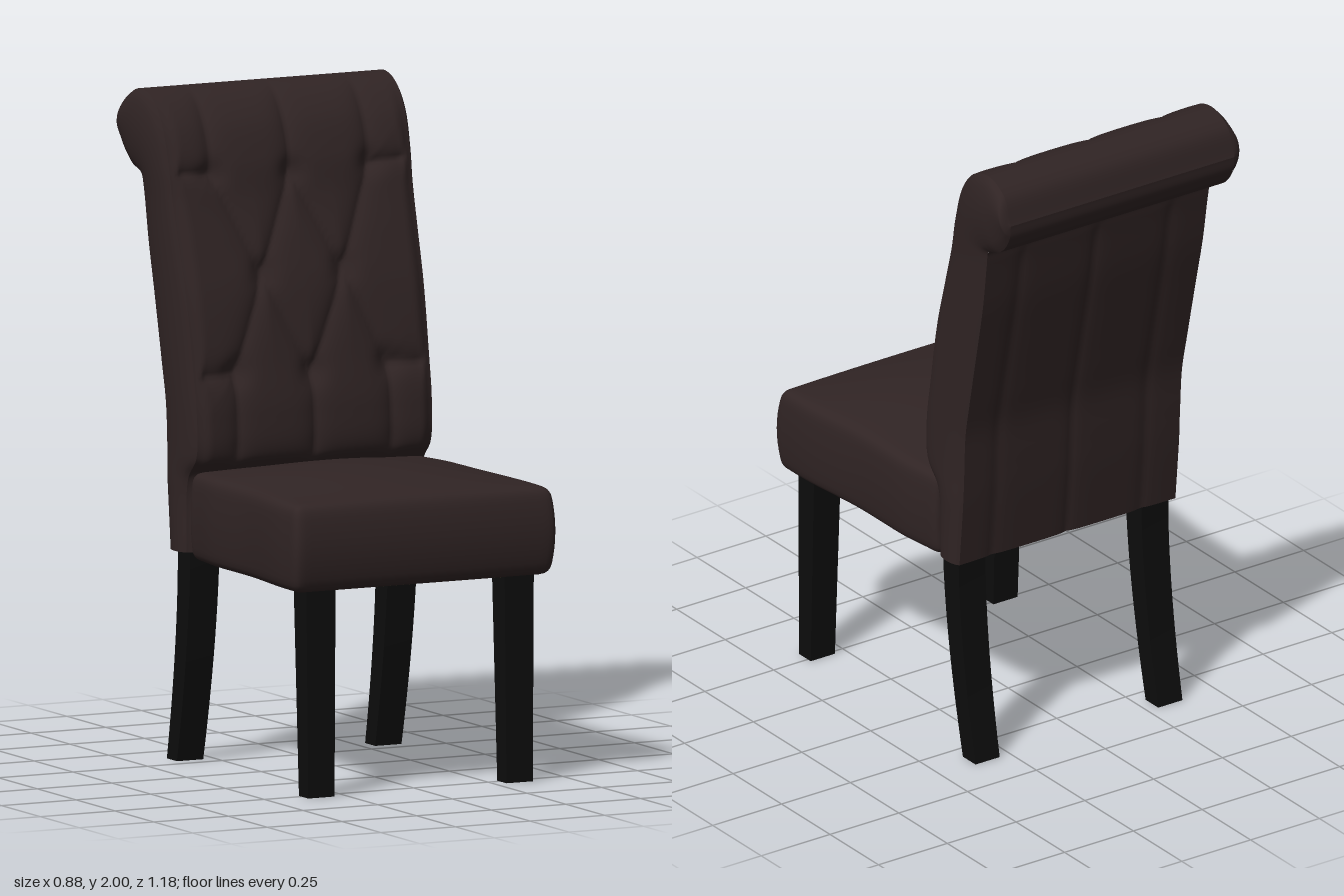
import * as THREE from 'three';
import { mergeVertices } from 'three/addons/utils/BufferGeometryUtils.js';

const clamp = THREE.MathUtils.clamp;
const smooth = THREE.MathUtils.smoothstep;

// Matching front and rear outlines of the backrest, as [z, y] from bottom to scroll tip
const FRONT = [[-.19, .64], [-.18, .86], [-.125, .93], [-.12, 1.05], [-.143, 1.2], [-.18, 1.4], [-.222, 1.55],
  [-.26, 1.68], [-.285, 1.8], [-.33, 1.91], [-.4, 1.98], [-.48, 2], [-.555, 1.965], [-.59, 1.88]];
const REAR = [[-.305, .64], [-.325, .86], [-.33, .95], [-.338, 1.08], [-.362, 1.2], [-.405, 1.4], [-.437, 1.55],
  [-.46, 1.7], [-.47, 1.745], [-.495, 1.757], [-.53, 1.77], [-.563, 1.8], [-.585, 1.84], [-.59, 1.88]];
const toCurve = (list) => new THREE.CatmullRomCurve3(list.map(([z, y]) => new THREE.Vector3(0, y, z)), false, 'centripetal');
const frontCurve = toCurve(FRONT);
const rearCurve = toCurve(REAR);

// Tufting: pulled points and the pleats between them, for x >= 0 (mirrored by |x|)
const BUTTONS = [[0, 1.75], [.265, 1.76], [.135, 1.46], [0, 1.165], [.255, 1.175]];
const PLEATS = [[0, 1.75, .135, 1.46], [.265, 1.76, .135, 1.46], [.135, 1.46, 0, 1.165], [.135, 1.46, .255, 1.175],
  [0, 1.75, 0, 2.1], [.265, 1.76, .265, 2.1], [.265, 1.76, .42, 1.77],
  [0, 1.165, 0, .8], [.255, 1.175, .26, .8], [.255, 1.175, .42, 1.17]];

function segmentDistance(x, y, [ax, ay, bx, by]) {
  const dx = bx - ax, dy = by - ay;
  const k = clamp(((x - ax) * dx + (y - ay) * dy) / (dx * dx + dy * dy), 0, 1);
  return Math.hypot(x - ax - k * dx, y - ay - k * dy);
}

function tuftDepth(x, y, t) {
  const ax = Math.abs(x);
  const line = Math.min(...PLEATS.map((p) => segmentDistance(ax, y, p)));
  const point = Math.min(...BUTTONS.map(([bx, by]) => Math.hypot(ax - bx, y - by)));
  const fade = smooth(t, .1, .18) * (1 - smooth(t, .66, .84));
  return fade * (.02 * Math.exp(-line / .03) + .02 * Math.exp(-((point / .04) ** 2)));
}

const halfWidth = (t) => .392 + .014 * smooth(t, .1, .8);

// Point on the padded front, u across from -1 to 1
function frontPoint(u, t) {
  const f = frontCurve.getPoint(t), r = rearCurve.getPoint(t);
  const chord = r.clone().sub(f), length = chord.length();
  const x = u * halfWidth(t);
  const roll = .018 * smooth(Math.abs(u), .86, 1) ** 2;
  const edge = roll * (1 - smooth(t, .6, .8));
  const depth = Math.max(edge, tuftDepth(x, f.y, t) * (1 - smooth(Math.abs(u), .9, 1)));
  if (length > 1e-4) f.addScaledVector(chord, Math.min(depth / length, .5));
  return f.setX(x);
}

// Point on the rear panel, with three shallow vertical seams
function rearPoint(u, t) {
  const p = rearCurve.getPoint(t);
  const x = u * halfWidth(t);
  const seam = Math.min(Math.abs(x), Math.abs(Math.abs(x) - .27));
  p.z += .008 * Math.exp(-seam / .02) * (1 - smooth(t, .5, .6));
  return p.setX(x);
}

// Bulging side panel, s from front edge to rear edge
function sidePoint(side, s, t) {
  const a = frontPoint(side, t), b = rearPoint(side, t);
  const bulge = (.018 + .012 * smooth(t, .5, .8)) * Math.min(1, a.distanceTo(b) / .12);
  const p = a.lerp(b, s);
  p.x += side * bulge * Math.pow(Math.max(0, Math.sin(Math.PI * s)), .6);
  return p;
}

// Smooth surface from a rule; i runs right and j runs up when seen from outside
function sheet(rule, nu, nv) {
  const position = [], index = [];
  for (let j = 0; j <= nv; j++) {
    for (let i = 0; i <= nu; i++) position.push(...rule(i / nu, j / nv).toArray());
  }
  for (let j = 0; j < nv; j++) {
    for (let i = 0; i < nu; i++) {
      const a = j * (nu + 1) + i, b = a + 1, c = a + nu + 1, d = c + 1;
      index.push(a, b, d, a, d, c);
    }
  }
  const g = new THREE.BufferGeometry();
  g.setAttribute('position', new THREE.Float32BufferAttribute(position, 3));
  g.setIndex(index);
  g.computeVertexNormals();
  return g;
}

function reshape(geometry, rule) {
  const p = geometry.attributes.position, v = new THREE.Vector3();
  for (let i = 0; i < p.count; i++) {
    rule(v.fromBufferAttribute(p, i));
    p.setXYZ(i, v.x, v.y, v.z);
  }
  geometry.computeVertexNormals();
  return geometry;
}

// Seat block: rounded edges, crowned top, waisted sides and bowed front
function seatGeometry() {
  let g = new THREE.BoxGeometry(2, 2, 2, 32, 16, 32);
  g.deleteAttribute('uv');
  g.deleteAttribute('normal');
  g = mergeVertices(g);
  const half = new THREE.Vector3(.44, .132, .39), R = .03;
  const inner = half.clone().subScalar(R), c = new THREE.Vector3();
  return reshape(g, (v) => {
    ['x', 'y', 'z'].forEach((k) => { v[k] = Math.sin(v[k] * Math.PI / 2) * half[k]; });
    c.copy(v).clamp(inner.clone().negate(), inner);
    v.sub(c).setLength(R).add(c);
    const xn = v.x / half.x, yn = v.y / half.y, zn = v.z / half.z;
    const waist = .945 + .055 * smooth(zn, -.1, .75) - .04 * (1 - smooth(zn, -1, -.5));
    v.x *= waist * (1 - .025 * yn * yn);
    if (yn > 0) v.y += .05 * yn ** 3 * (1 - xn * xn) * (1 - zn * zn);
    if (zn > 0) v.z -= .022 * yn * yn * zn ** 3;
    v.y += .752;
    v.z += .2;
  });
}

// Square leg: rule gives [front z, rear z] at height k, 0 at the floor and 1 at the top
function legGeometry(side, span) {
  return reshape(new THREE.BoxGeometry(1, 1, 1, 1, 12, 1), (v) => {
    const k = v.y + .5, [zf, zr] = span(k);
    v.x = side * .332 + v.x * (.088 + .01 * k);
    v.z = zr + (v.z + .5) * (zf - zr);
    v.y = k * .645;
  });
}

export function createModel() {
  const group = new THREE.Group();
  const upholstery = new THREE.MeshStandardMaterial({ color: 0x302424 });
  upholstery.name = 'dark brown upholstery';
  const wood = new THREE.MeshStandardMaterial({ color: 0x0d0d0d });
  wood.name = 'black wood';
  const lining = new THREE.MeshStandardMaterial({ color: 0x3c321c });
  lining.name = 'olive lining';
  const add = (name, geometry, material, parent = group) => {
    const mesh = new THREE.Mesh(geometry, material);
    mesh.name = name;
    parent.add(mesh);
    return mesh;
  };

  // Scrolled backrest
  const back = new THREE.Group();
  back.name = 'backrest';
  group.add(back);
  add('tuftedFront', sheet((u, t) => frontPoint(u * 2 - 1, t), 80, 150), upholstery, back);
  add('rearPanel', sheet((u, t) => rearPoint(1 - u * 2, t), 60, 80), upholstery, back);
  add('leftSidePanel', sheet((s, t) => sidePoint(1, s, t), 14, 150), upholstery, back);
  add('rightSidePanel', sheet((s, t) => sidePoint(-1, 1 - s, t), 14, 150), upholstery, back);
  add('backrestBase', sheet((u, s) => rearPoint(u * 2 - 1, 0).lerp(frontPoint(u * 2 - 1, 0), s), 60, 1), upholstery, back);

  // Seat and the lining beneath it
  add('seat', seatGeometry(), upholstery);
  const liner = add('seatLining', new THREE.BoxGeometry(.72, .006, .66), lining);
  liner.position.set(0, .619, .19);

  // Straight front legs and swept rear legs
  for (const [side, name] of [[1, 'left'], [-1, 'right']]) {
    add(name + 'FrontLeg', legGeometry(side, (k) => [.545 - .003 * k, .485 - .025 * k]), wood);
    add(name + 'RearLeg', legGeometry(side, (k) => {
      const sweep = .095 * (1 - k) ** 1.6;
      return [-.205 - sweep, -.285 - sweep + .015 * (1 - k)];
    }), wood);
  }
  return group;
}
